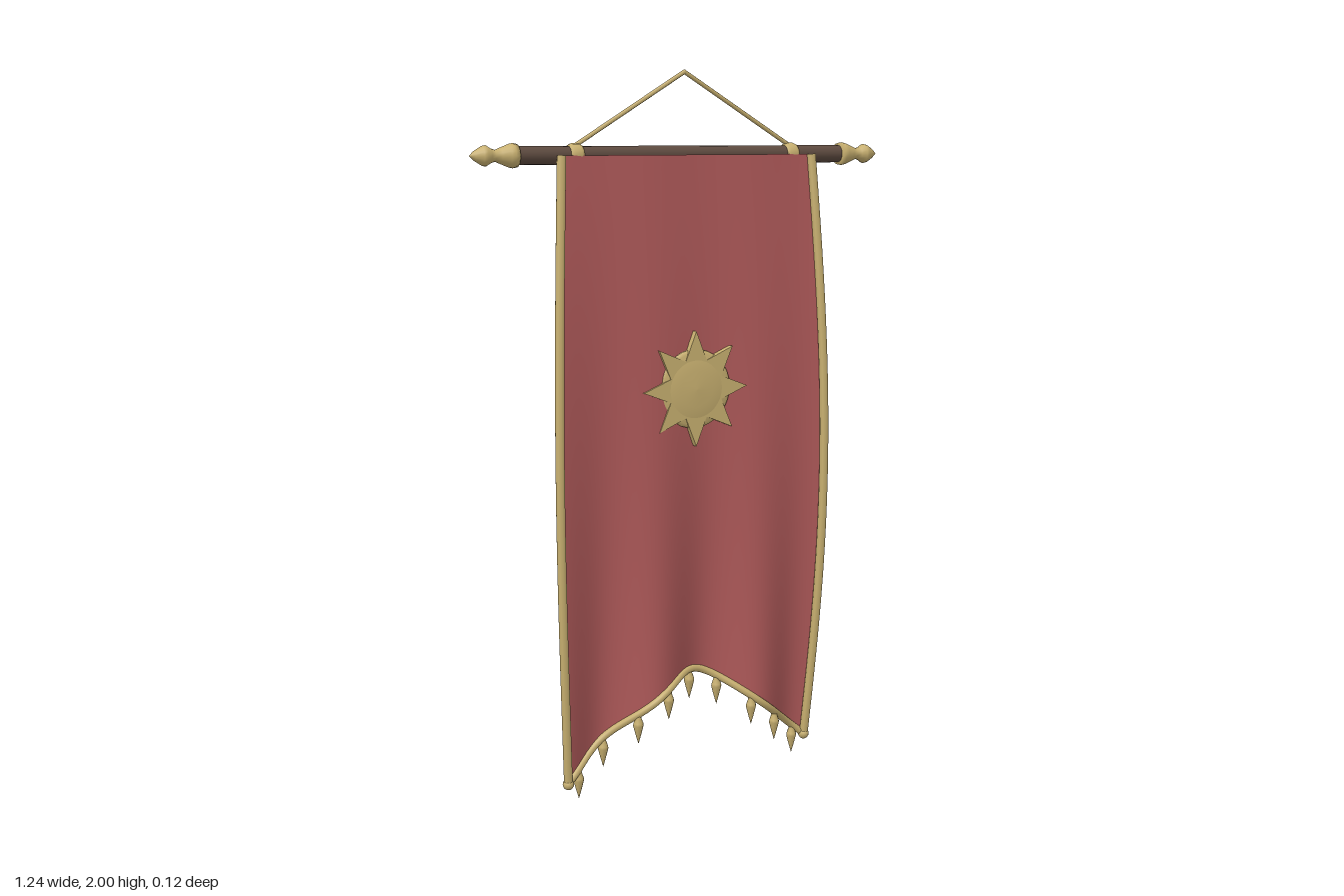
import * as THREE from 'three';

const TOP = 1.775, DROP = 1.715, POLE_Z = -0.03;

// Hanging cloth as a surface: u runs across (-1..1), v runs down (0..1)
function hemY(u) {
  return 0.06 + 0.265 * (1 - (Math.sqrt(u * u + 0.04) - 0.2) / (Math.sqrt(1.04) - 0.2));
}
function clothPoint(u, v, forward = 0) {
  const y = TOP + (hemY(u) - TOP) * v;
  const t = (TOP - y) / DROP;
  const bow = Math.sin(Math.PI * t);
  const x = u * (0.38 + 0.01 * t + 0.03 * bow);
  const edge = u ** 4;
  const folds = (0.003 + 0.04 * t * t) * (1 - 0.6 * edge) * Math.cos((x - 0.21) * Math.PI * 2 / 0.33);
  const z = 0.002 + bow * (0.02 + 0.017 * edge) + folds + forward;
  return new THREE.Vector3(x, y, z);
}

function clothGeometry(nu = 64, nv = 40) {
  const pos = [], index = [];
  for (let j = 0; j <= nv; j++)
    for (let i = 0; i <= nu; i++) pos.push(...clothPoint((i / nu) * 2 - 1, j / nv).toArray());
  for (let j = 0; j < nv; j++)
    for (let i = 0; i < nu; i++) {
      const a = j * (nu + 1) + i, b = a + nu + 1;
      index.push(a, b, a + 1, b, b + 1, a + 1);
    }
  const g = new THREE.BufferGeometry();
  g.setAttribute('position', new THREE.Float32BufferAttribute(pos, 3));
  g.setIndex(index);
  g.computeVertexNormals();
  return g;
}

const lathe = (pts, sides = 16) =>
  new THREE.LatheGeometry(pts.map(([r, y]) => new THREE.Vector2(r, y)), sides);

function tubeAlong(fn, n, radius) {
  const pts = Array.from({ length: n + 1 }, (_, i) => fn(i / n));
  return new THREE.TubeGeometry(new THREE.CatmullRomCurve3(pts), n * 2, radius, 8);
}

export function createModel() {
  const group = new THREE.Group();
  const material = (name, color, extra = {}) => {
    const m = new THREE.MeshStandardMaterial({ color, ...extra });
    m.name = name;
    return m;
  };
  const red = material('red cloth', 0xb05a5a, { side: THREE.DoubleSide });
  const gold = material('gold', 0xc8b070);
  const wood = material('dark wood', 0x5e4b40);

  const add = (name, geometry, mat, x = 0, y = 0, z = 0) => {
    const mesh = new THREE.Mesh(geometry, mat);
    mesh.name = name;
    mesh.position.set(x, y, z);
    group.add(mesh);
    return mesh;
  };

  add('cloth', clothGeometry(), red);

  // Pole
  add('pole', new THREE.CylinderGeometry(0.024, 0.024, 1.0, 16), wood, 0, TOP, POLE_Z).rotation.z = Math.PI / 2;

  const finial = lathe([[0, 0], [0.03, 0], [0.032, 0.012], [0.03, 0.022], [0.021, 0.045], [0.015, 0.06],
    [0.019, 0.072], [0.027, 0.085], [0.025, 0.095], [0.013, 0.115], [0, 0.13]]);
  const ring = lathe([[0.022, -0.018], [0.027, -0.018], [0.031, -0.01], [0.031, 0.01], [0.027, 0.018], [0.022, 0.018]]);
  const corner = new THREE.SphereGeometry(0.016, 12, 8);

  // Parts mirrored on both sides
  for (const [side, s] of [['left', 1], ['right', -1]]) {
    add(`${side}Finial`, finial, gold, s * 0.49, TOP, POLE_Z).rotation.z = -s * Math.PI / 2;
    add(`${side}Ring`, ring, gold, s * 0.328, TOP, POLE_Z).rotation.z = Math.PI / 2;
    add(`${side}EdgeTrim`, tubeAlong((t) => clothPoint(s, t, 0.003), 20, 0.013), gold);
    const c = clothPoint(s, 1, 0.003);
    add(`${side}CornerKnob`, corner, gold, c.x, c.y, c.z);
    const cord = new THREE.LineCurve3(
      new THREE.Vector3(s * 0.328, TOP + 0.024, POLE_Z), new THREE.Vector3(0, 1.994, -0.036));
    add(`${side}Cord`, new THREE.TubeGeometry(cord, 1, 0.006, 8), gold);
  }
  add('cordPeak', new THREE.SphereGeometry(0.006, 8, 6), gold, 0, 1.994, -0.036);

  // Hem trim and hanging points
  add('hemTrim', tubeAlong((t) => clothPoint(t * 2 - 1, 1), 40, 0.011), gold);
  const tassel = lathe([[0, -0.088], [0.008, -0.06], [0.015, -0.033], [0.014, -0.026], [0.009, -0.012], [0.008, 0]], 10);
  for (let i = -4; i <= 4; i++) {
    const p = clothPoint(i * 0.2245, 1);
    add('tassel', tassel, gold, p.x, p.y, p.z);
  }

  // Sunburst emblem: eight-pointed star under a shallow dome
  const star = new THREE.Shape();
  for (let i = 0; i < 16; i++) {
    const r = i % 2 ? 0.085 : 0.16, a = (i * Math.PI) / 8;
    star[i ? 'lineTo' : 'moveTo'](r * Math.cos(a), r * Math.sin(a));
  }
  star.closePath();
  add('emblemStar', new THREE.ExtrudeGeometry(star, { depth: 0.019, bevelEnabled: false }), gold, 0, 1.141, 0.015);
  const dome = lathe([[0, 0], [0.11, 0], [0.109, 0.008], [0.1, 0.012], [0.08, 0.016], [0.05, 0.02], [0, 0.022]], 32);
  add('emblemDome', dome, gold, 0, 1.141, 0.018).rotation.x = Math.PI / 2;

  return group;
}
